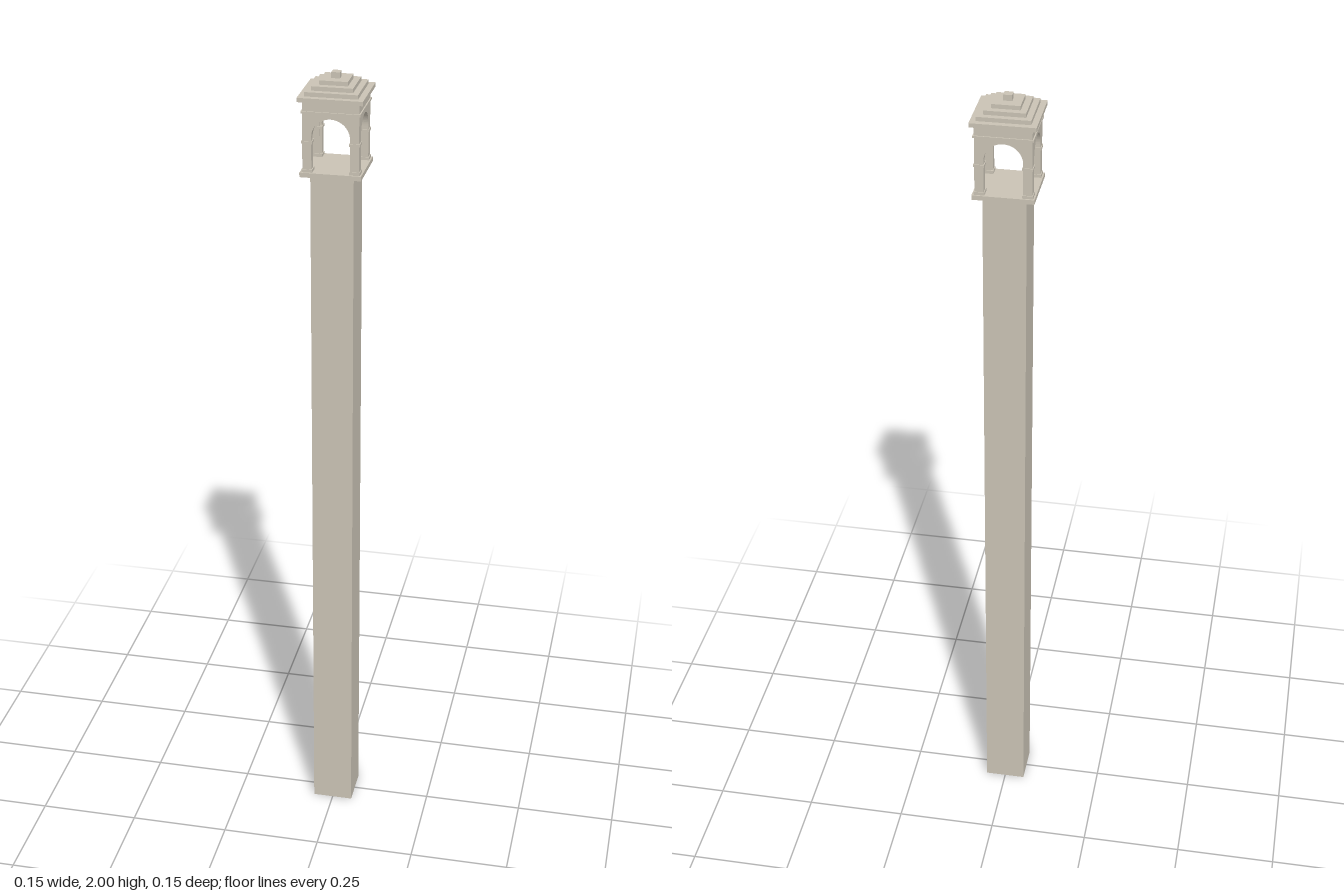
import * as THREE from 'three';

export function createModel() {
  const tower = new THREE.Group();
  tower.name = 'bellTower';
  const stone = new THREE.MeshStandardMaterial({ color: 0xc9c2b4, side: THREE.DoubleSide });
  stone.name = 'paleStone';

  const add = (name, geometry, x = 0, y = 0, z = 0) => {
    const mesh = new THREE.Mesh(geometry, stone);
    mesh.name = name;
    mesh.position.set(x, y, z);
    tower.add(mesh);
    return mesh;
  };
  // Square slab given by its half width and its bottom and top heights
  const slab = (name, half, bottom, top, x = 0, z = 0) =>
    add(name, new THREE.BoxGeometry(half * 2, top - bottom, half * 2), x, (bottom + top) / 2, z);

  // Hollow shaft of stacked courses, open at the foot
  const shaftTop = 1.768, courses = 15, courseHeight = shaftTop / courses;
  const course = new THREE.CylinderGeometry(0.051 * Math.SQRT2, 0.051 * Math.SQRT2, courseHeight, 4, 1, true)
    .rotateY(Math.PI / 4).toNonIndexed();
  course.computeVertexNormals();
  for (let i = 0; i < courses; i++) add('shaftCourse', course, 0, (i + 0.5) * courseHeight, 0);

  // Belfry floor
  slab('belfryFloor', 0.072, shaftTop, 1.779);

  // Four arched belfry walls
  const half = 0.066, open = 0.045, base = 1.779, spring = 1.862, wallTop = 1.918, depth = 0.017;
  const arch = new THREE.Shape();
  arch.moveTo(-half, base);
  arch.lineTo(-open, base);
  arch.lineTo(-open, spring);
  arch.absarc(0, spring, open, Math.PI, 0, true);
  arch.lineTo(open, base);
  arch.lineTo(half, base);
  arch.lineTo(half, wallTop);
  arch.lineTo(-half, wallTop);
  const wall = new THREE.ExtrudeGeometry(arch, { depth, bevelEnabled: false, curveSegments: 16 })
    .translate(0, 0, half - depth);
  for (let i = 0; i < 4; i++) add('archedWall', wall).rotation.y = i * Math.PI / 2;

  // Pillar feet and imposts at the corners
  for (const x of [-1, 1]) for (const z of [-1, 1]) {
    slab('pillarFoot', 0.0125, base, 1.786, x * 0.0555, z * 0.0555);
    slab('pillarImpost', 0.0125, 1.847, 1.853, x * 0.0555, z * 0.0555);
  }

  // Moulding, frieze and eaves
  slab('moulding', 0.069, wallTop, 1.923);
  slab('frieze', 0.066, 1.923, 1.946);
  slab('eaves', 0.076, 1.946, 1.956);

  // Stepped roof and finial
  [0.062, 0.048, 0.033].forEach((h, i) => slab('roofStep', h, 1.956 + i * 0.01, 1.966 + i * 0.01));
  slab('finial', 0.01, 1.986, 2);

  return tower;
}
